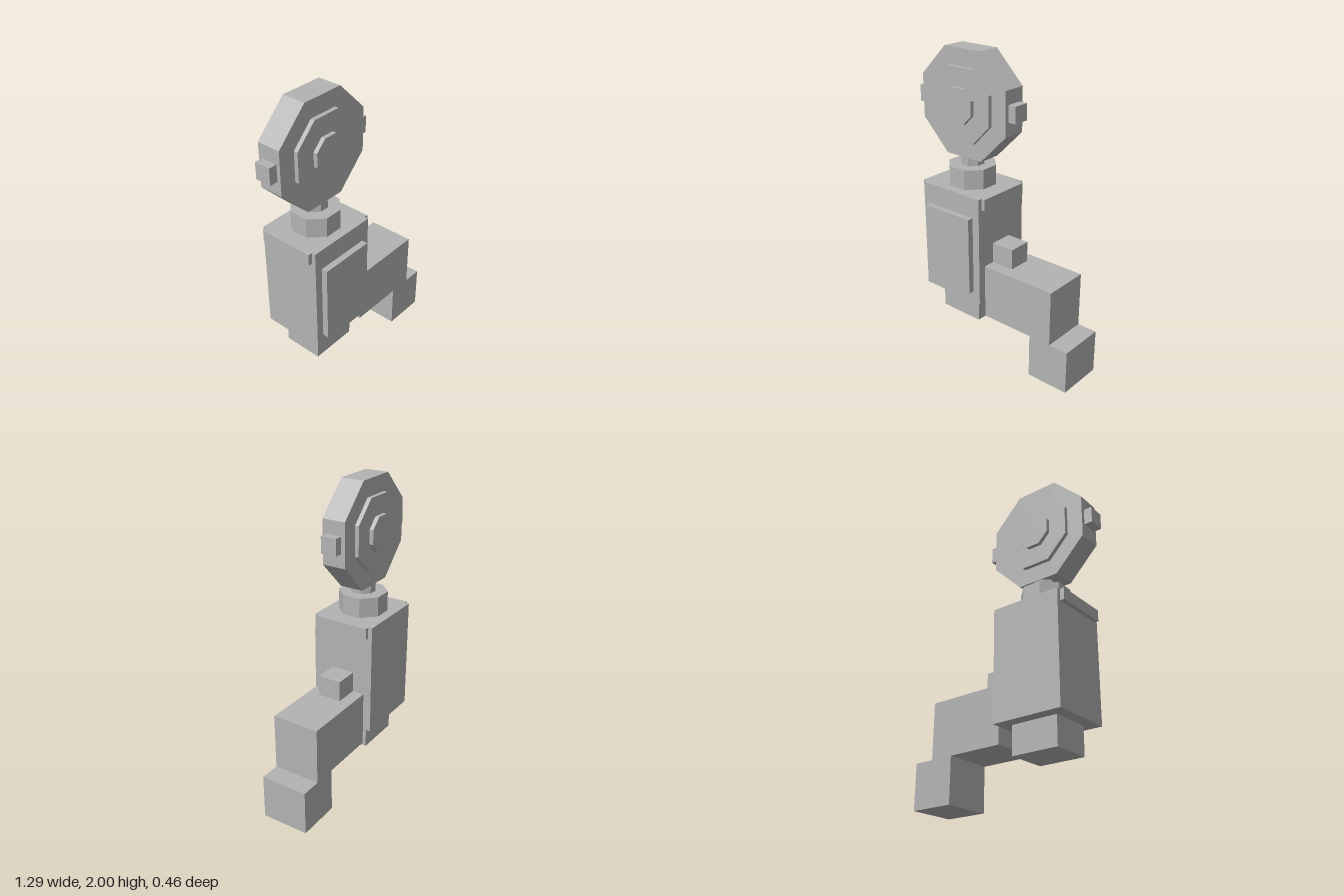
import * as THREE from 'three';

export function createModel() {
  const model = new THREE.Group();
  const grey = new THREE.MeshStandardMaterial({ color: 0xb3b3b3, flatShading: true });
  grey.name = 'plain grey';
  const midX = -0.253, midZ = -0.02, headY = 1.661;

  const add = (name, geometry, x, y, z) => {
    const mesh = new THREE.Mesh(geometry, grey);
    mesh.name = name;
    mesh.position.set(x, y, z);
    model.add(mesh);
    return mesh;
  };

  // Box from its limits on each axis
  const box = (name, x0, x1, y0, y1, z0, z1) =>
    add(name, new THREE.BoxGeometry(x1 - x0, y1 - y0, z1 - z0),
      (x0 + x1) / 2, (y0 + y1) / 2, (z0 + z1) / 2);

  // Eight-sided prism with flat sides on the axes, sized by half its flat width
  const octagon = (halfWidth, height) => {
    const r = halfWidth / Math.cos(Math.PI / 8);
    return new THREE.CylinderGeometry(r, r, height, 8).rotateY(Math.PI / 8);
  };

  // Body, front panel, base and side rails
  box('body', -0.486, -0.015, 0.4, 1.135, -0.23, 0.19);
  box('frontPanel', -0.435, -0.067, 0.48, 1.0, 0.19, 0.23);
  box('base', -0.408, -0.095, 0.215, 0.4, -0.152, 0.113);
  box('rightRail', -0.514, -0.486, 1.06, 1.135, -0.203, 0.164);
  box('leftRail', -0.015, 0.011, 1.06, 1.135, -0.203, 0.164);

  // Side arm stepping down to the foot
  box('arm', -0.015, 0.509, 0.293, 0.66, -0.176, 0.137);
  box('foot', 0.354, 0.642, 0, 0.293, -0.176, 0.137);
  box('armKnob', -0.015, 0.142, 0.66, 0.795, -0.097, 0.058);

  // Collar and neck
  add('collar', octagon(0.146, 0.13), midX, 1.2, midZ);
  add('neck', octagon(0.073, 0.08), midX, 1.3, midZ);

  // Octagonal head with rings stepping out on both faces
  const layers = [['head', 0.34, 0.155], ['headRing', 0.232, 0.209], ['headHub', 0.111, 0.262]];
  for (const [name, halfWidth, depth] of layers) {
    add(name, octagon(halfWidth, depth).rotateX(Math.PI / 2), midX, headY, midZ);
  }

  // Lugs on the sides of the head
  box('rightLug', -0.647, -0.58, 1.608, 1.714, -0.072, 0.033);
  box('leftLug', 0.074, 0.142, 1.608, 1.714, -0.072, 0.033);

  return model;
}
